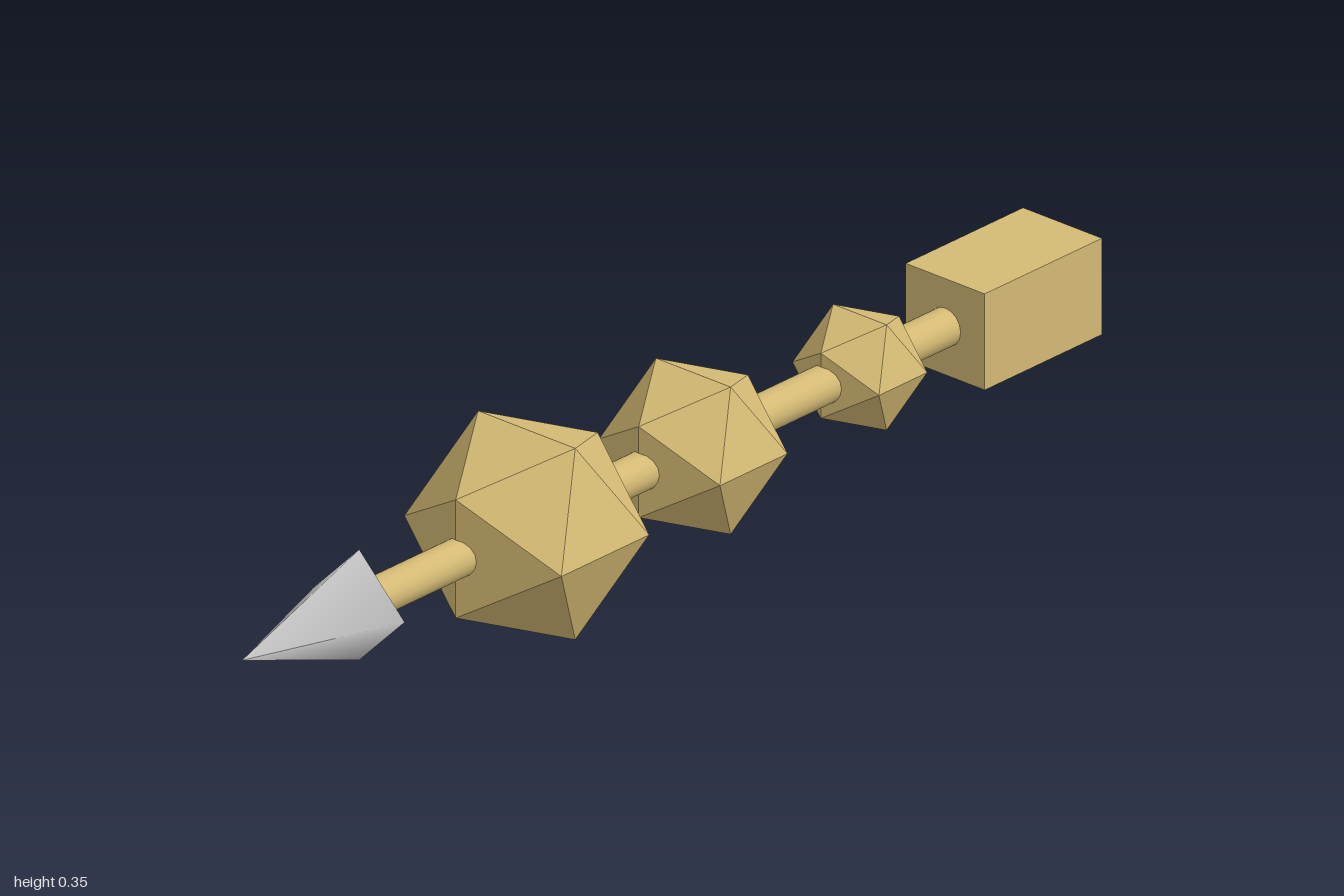
import * as THREE from 'three';

export function createModel() {
  const group = new THREE.Group();
  const gold = new THREE.MeshStandardMaterial({ color: 0xd4ba74 });
  gold.name = 'gold';
  const silver = new THREE.MeshStandardMaterial({ color: 0xcccccc });
  silver.name = 'silver';
  const axisY = 0.173;

  // Every part sits on one shaft axis running along z
  const add = (name, geometry, material, z) => {
    const mesh = new THREE.Mesh(geometry, material);
    mesh.name = name;
    mesh.position.set(0, axisY, z);
    group.add(mesh);
  };

  // Slim round shaft
  add('shaft', new THREE.CylinderGeometry(0.034, 0.034, 1.428, 16).rotateX(Math.PI / 2), gold, 0);

  // Four-sided smooth-shaded tip pointing forward
  add('tip', new THREE.ConeGeometry(0.1, 0.286, 4).rotateX(Math.PI / 2), silver, 0.857);

  // Faceted beads, shrinking toward the back
  const beads = [['largeBead', 0.2034, 0.306], ['middleBead', 0.1565, -0.1], ['smallBead', 0.112, -0.506]];
  for (const [name, radius, z] of beads) add(name, new THREE.IcosahedronGeometry(radius), gold, z);

  // Block handle at the back
  add('handle', new THREE.BoxGeometry(0.174, 0.174, 0.286), gold, -0.857);

  return group;
}
